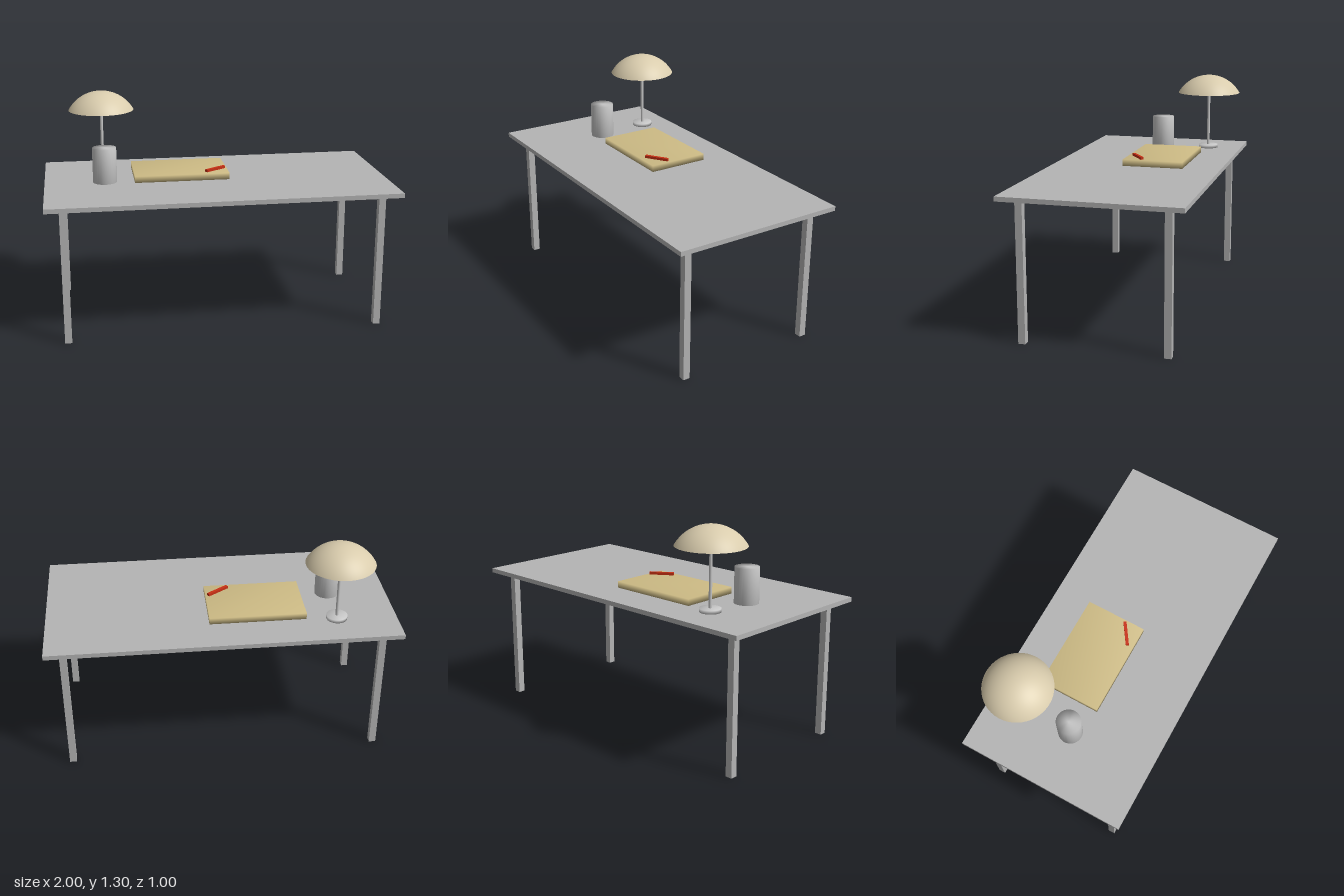
import * as THREE from 'three';
import { mergeVertices } from 'three/addons/utils/BufferGeometryUtils.js';

const material = (name, color, side = THREE.FrontSide) => {
  const m = new THREE.MeshStandardMaterial({ color, side });
  m.name = name;
  return m;
};

// Weld vertices so the normals blend softly across the edges
function soften(geometry) {
  geometry.deleteAttribute('normal');
  geometry.deleteAttribute('uv');
  const g = mergeVertices(geometry, 1e-4);
  g.computeVertexNormals();
  return g;
}

function add(parent, name, geometry, mat, x, y, z) {
  const mesh = new THREE.Mesh(geometry, mat);
  mesh.name = name;
  mesh.position.set(x, y, z);
  parent.add(mesh);
  return mesh;
}

export function createModel() {
  const model = new THREE.Group();
  model.name = 'deskWithLamp';

  const deskGrey = material('desk grey', 0xb4b4b4);
  const metal = material('light metal', 0xc6c6c6);
  const cream = material('cream shade', 0xd9ccad, THREE.DoubleSide);
  const tan = material('tan paper', 0xcdbb85);
  const red = material('pen red', 0xc93014);

  // Table
  const table = new THREE.Group();
  table.name = 'table';
  model.add(table);
  add(table, 'tableTop', new THREE.BoxGeometry(2, 0.026, 1), deskGrey, 0, 0.808, 0);
  const leg = new THREE.BoxGeometry(0.04, 0.795, 0.04);
  for (const x of [-0.9, 0.9])
    for (const z of [-0.4, 0.4])
      add(table, `${z > 0 ? 'front' : 'back'}${x > 0 ? 'Left' : 'Right'}Leg`, leg, deskGrey, x, 0.3975, z);

  // Lamp: disc foot, thin pole and a shallow domed shade
  const lamp = new THREE.Group();
  lamp.name = 'lamp';
  lamp.position.set(-0.65, 0, -0.3);
  model.add(lamp);
  add(lamp, 'lampBase', soften(new THREE.CylinderGeometry(0.06, 0.06, 0.02, 32)), metal, 0, 0.843, 0);
  add(lamp, 'lampPole', new THREE.CylinderGeometry(0.009, 0.009, 0.395, 16), metal, 0, 1.0425, 0);
  const shadeRadius = 0.225;
  add(lamp, 'lampShade', new THREE.SphereGeometry(shadeRadius, 48, 16, 0, Math.PI * 2, 0, Math.PI / 3),
    cream, 0, 1.301 - shadeRadius, 0);

  // Cup
  add(model, 'cup', soften(new THREE.CylinderGeometry(0.07, 0.07, 0.204, 32)), metal, -0.65, 0.923, 0);

  // Notebook with a pen lying across its corner
  add(model, 'notebook', soften(new THREE.BoxGeometry(0.555, 0.038, 0.36)), tan, -0.2025, 0.845, -0.105);
  const pen = add(model, 'pen', new THREE.BoxGeometry(0.143, 0.015, 0.018), red, 0, 0.873, 0);
  pen.rotation.y = 0.6;

  return model;
}
